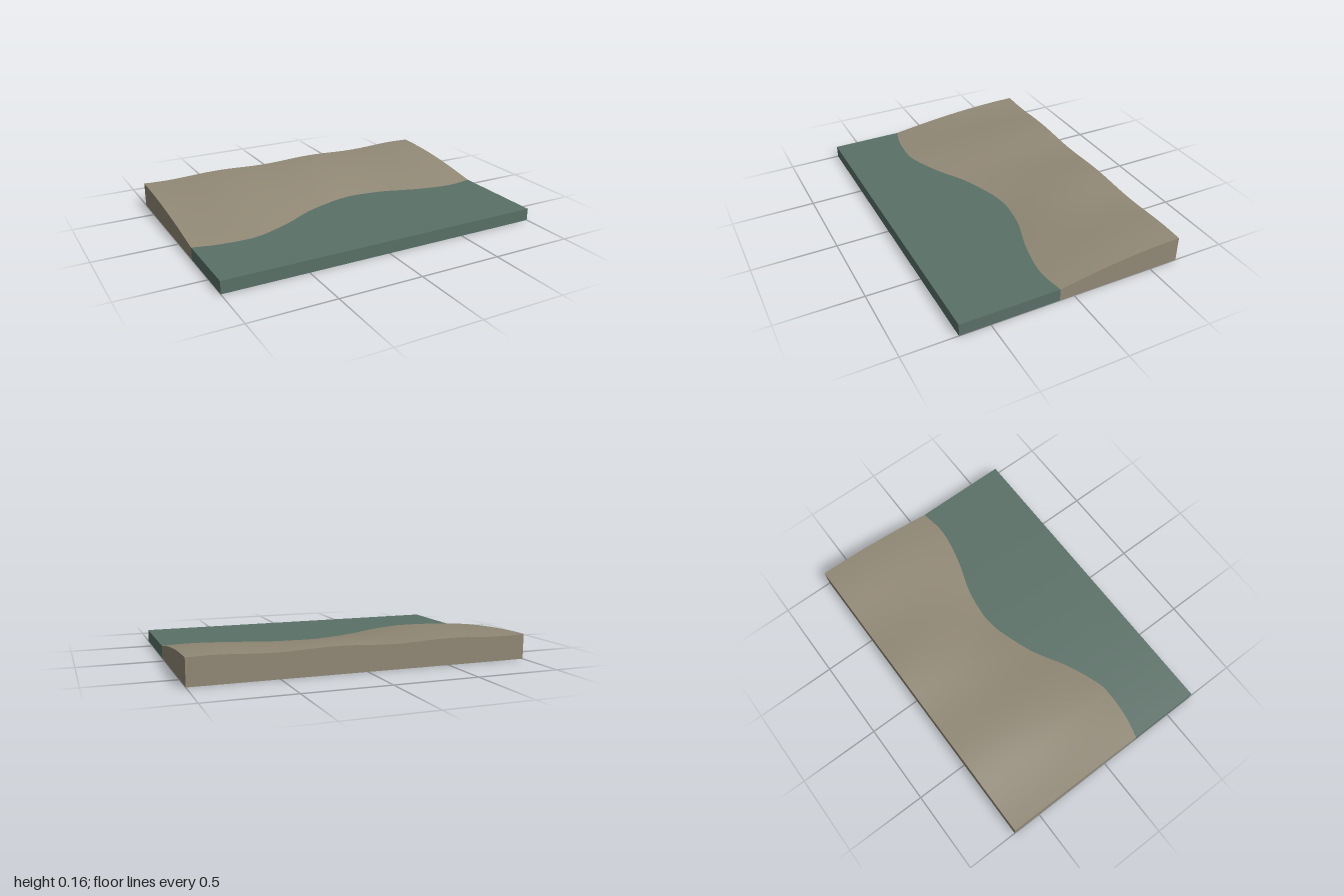
import * as THREE from 'three';

const HALF_X = 1, HALF_Z = 0.68, WATER_Y = 0.075;

// Shoreline in plan, as x / z pairs
const shore = new THREE.SplineCurve([
  [-1, 0.235], [-0.87, 0.267], [-0.72, 0.28], [-0.6, 0.268], [-0.4, 0.187], [-0.2, 0.075],
  [0, 0.002], [0.1, -0.02], [0.2, -0.025], [0.38, 0.002], [0.6, 0.072], [0.82, 0.11], [1, 0.088],
].map(([x, z]) => new THREE.Vector2(x, z)));

// Height of the gently rolling rear crest
const crest = (x) => 0.151 + 0.0055 * Math.cos((x - 0.18) * Math.PI * 2 / 0.69);

// Ground point: s runs along the shore, t from the waterline (0) to the back (1)
function ground(s, t) {
  const p = shore.getPoint(s);
  const rise = (Math.sin(t * Math.PI / 2) + 1 - (1 - t) ** 2) / 2;
  return [p.x, WATER_Y + (crest(p.x) - WATER_Y) * rise, THREE.MathUtils.lerp(p.y, -HALF_Z, t)];
}

// Smooth surface patch facing du x dv
function patch(point, nu, nv) {
  const pos = [], index = [];
  for (let j = 0; j <= nv; j++) {
    for (let i = 0; i <= nu; i++) pos.push(...point(i / nu, j / nv));
  }
  for (let j = 0; j < nv; j++) {
    for (let i = 0; i < nu; i++) {
      const a = j * (nu + 1) + i, b = a + nu + 1;
      index.push(a, a + 1, b, a + 1, b + 1, b);
    }
  }
  const geometry = new THREE.BufferGeometry();
  geometry.setAttribute('position', new THREE.Float32BufferAttribute(pos, 3));
  geometry.setIndex(index);
  geometry.computeVertexNormals();
  return geometry;
}

export function createModel() {
  const earth = new THREE.MeshStandardMaterial({ color: 0x928976 });
  earth.name = 'earth';
  const water = new THREE.MeshStandardMaterial({ color: 0x5a7067 });
  water.name = 'water';

  const model = new THREE.Group();
  model.name = 'shoreTerrain';
  const add = (name, material, point, nu = 1, nv = 1) => {
    const mesh = new THREE.Mesh(patch(point, nu, nv), material);
    mesh.name = name;
    model.add(mesh);
  };

  // Top surfaces
  add('landSurface', earth, ground, 96, 32);
  add('waterSurface', water, (u, v) => {
    const p = shore.getPoint(u);
    return [p.x, WATER_Y, THREE.MathUtils.lerp(HALF_Z, p.y, v)];
  }, 96, 1);

  // Front and back walls
  add('waterFront', water, (u, v) => [(2 * u - 1) * HALF_X, v * WATER_Y, HALF_Z]);
  add('landBack', earth, (u, v) => {
    const [x, y, z] = ground(1 - u, 1);
    return [x, y * v, z];
  }, 96, 1);

  // Side walls, split at the waterline
  for (const [side, s] of [['left', 1], ['right', 0]]) {
    const along = (u) => (s ? u : 1 - u);
    const end = shore.getPoint(s);
    add(side + 'LandSide', earth, (u, v) => {
      const [x, y, z] = ground(s, along(u));
      return [x, y * v, z];
    }, 32, 1);
    add(side + 'WaterSide', water, (u, v) =>
      [end.x, v * WATER_Y, THREE.MathUtils.lerp(HALF_Z, end.y, along(u))]);
  }

  // Flat underside
  add('underside', earth, (u, v) => [(2 * u - 1) * HALF_X, 0, (2 * v - 1) * HALF_Z]);

  return model;
}
